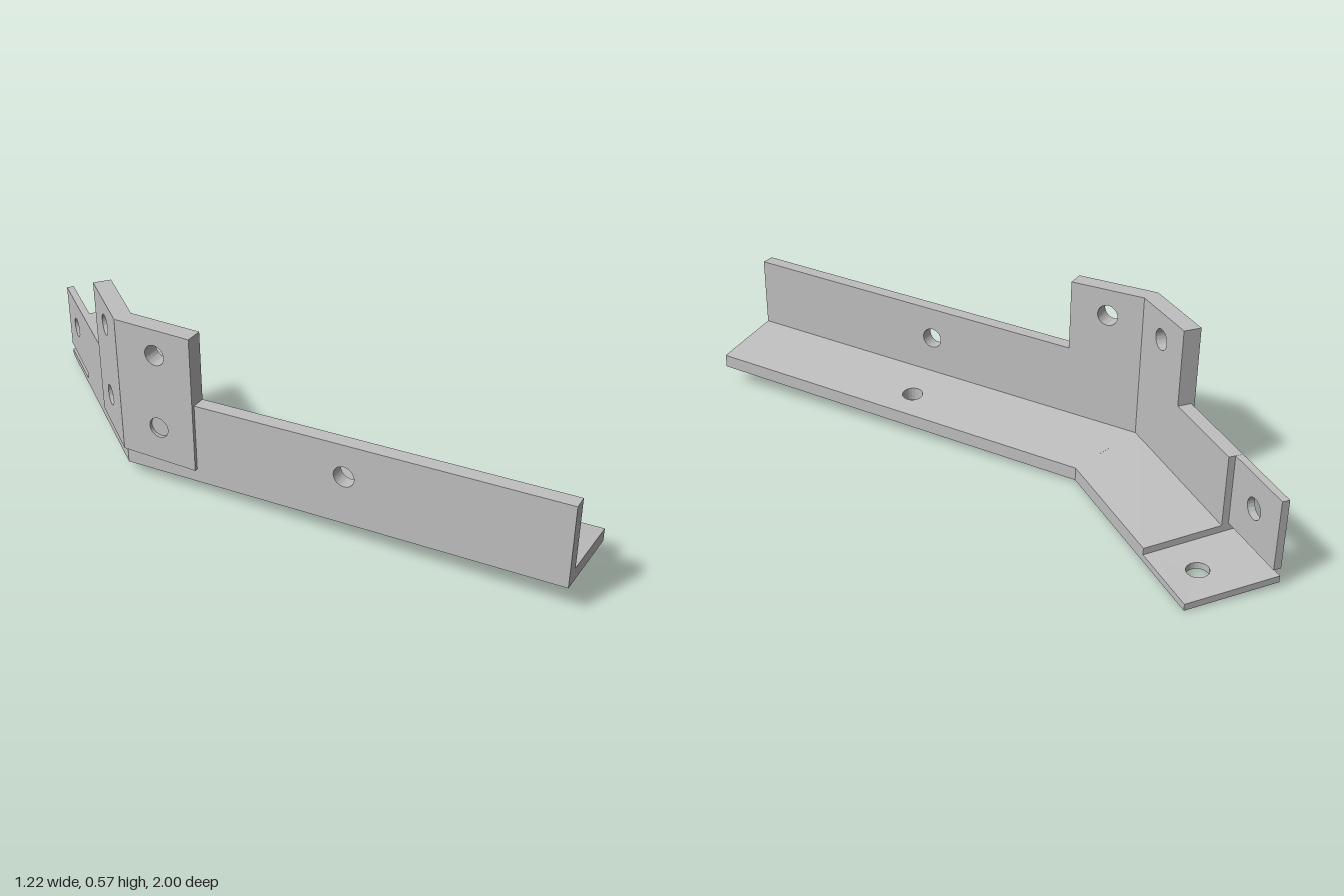
import * as THREE from 'three';
import { toCreasedNormals } from 'three/addons/utils/BufferGeometryUtils.js';

const MITER = 0.36;   // shift along the arm per unit of depth at the bend
const WALL = 0.048;   // wall thickness
const CORNER = [-0.6, -0.17]; // outer corner of the bend (x, z)

// Each arm: s runs along its outer edge, d runs inward across it.
const frontArm = {
  dir: [0.638, 0.77], inward: [0.77, -0.638],
  base: (s, d) => 0.042 + 0.0395 * s - 0.115 * d,
};
const backArm = {
  dir: [0, -1], inward: [1, 0],
  base: (s, d) => 0.042 - 0.03 * s - (0.096 - 0.05 * s) * d,
};

// Outline with round holes given as [u, v, radius]
function outline(points, holes = []) {
  const shape = new THREE.Shape(points.map(([u, v]) => new THREE.Vector2(u, v)));
  for (const [u, v, r] of holes) {
    shape.holes.push(new THREE.Path().absarc(u, v, r, 0, Math.PI * 2, true));
  }
  return shape;
}

function reverseFaces(geo) {
  const a = geo.attributes.position.array;
  for (let i = 0; i < a.length; i += 9) {
    for (let k = 0; k < 3; k++) [a[i + 3 + k], a[i + 6 + k]] = [a[i + 6 + k], a[i + 3 + k]];
  }
}

// Extrudes an outline and lays it along an arm, mitred at the bend.
// Plates use (s, d) outlines and follow the slope; walls use (s, y) outlines.
function piece(arm, kind, shape, from, to) {
  const geo = new THREE.ExtrudeGeometry(shape, { depth: to - from, bevelEnabled: false, curveSegments: 32 });
  const p = geo.attributes.position;
  for (let i = 0; i < p.count; i++) {
    const s = p.getX(i), v = p.getY(i), w = p.getZ(i) + from;
    const d = kind === 'plate' ? v : w;
    const along = Math.abs(s) < 1e-4 ? MITER * d : s;
    const y = kind === 'plate' ? w + arm.base(along, d) : v;
    p.setXYZ(i,
      CORNER[0] + arm.dir[0] * along + arm.inward[0] * d, y,
      CORNER[1] + arm.dir[1] * along + arm.inward[1] * d);
  }
  const turn = arm.dir[1] * arm.inward[0] - arm.dir[0] * arm.inward[1];
  if ((turn > 0) !== (kind === 'plate')) reverseFaces(geo);
  geo.deleteAttribute('uv');
  return toCreasedNormals(geo, 0.4);
}

const rect = (u0, v0, u1, v1) => [[u0, v0], [u1, v0], [u1, v1], [u0, v1]];

export function createModel() {
  const group = new THREE.Group();
  const steel = new THREE.MeshStandardMaterial({ color: 0xbfbfbf });
  steel.name = 'light grey steel';
  const add = (name, ...args) => {
    const mesh = new THREE.Mesh(piece(...args), steel);
    mesh.name = name;
    group.add(mesh);
  };

  // Base plates, the back one stepping down to a thin tongue
  add('frontBasePlate', frontArm, 'plate', outline(rect(0, 0, 1.52, 0.31), [[0.79, 0.202, 0.035]]), 0, 0.045);
  add('backBasePlate', backArm, 'plate', outline(rect(0, 0, 0.58, 0.31)), 0, 0.045);
  add('backTongue', backArm, 'plate', outline(rect(0.58, 0, 0.83, 0.31), [[0.71, 0.2, 0.035]]), 0, 0.022);

  // Walls, each rising into half of the corner upright
  add('frontWall', frontArm, 'wall', outline(
    [[0, 0.047], [1.52, 0.107], [1.52, 0.383], [0.272, 0.335], [0.272, 0.575], [0, 0.575]],
    [[0.8, 0.243, 0.035], [0.14, 0.485, 0.035]]), 0, WALL);
  add('backWall', backArm, 'wall', outline(
    [[0, 0.047], [0.58, 0.03], [0.58, 0.306], [0.272, 0.316], [0.272, 0.575], [0, 0.575]],
    [[0.14, 0.485, 0.035]]), 0, WALL);

  // Thin flap at the end of the back wall, clear of the tongue below
  add('backFlap', backArm, 'wall', outline(
    [[0.57, 0.07], [0.83, 0.065], [0.83, 0.298], [0.57, 0.306]], [[0.7, 0.195, 0.035]]), 0, 0.025);

  // Raised pads on the outside of the upright, with shallow lower holes
  for (const [name, arm] of [['frontPad', frontArm], ['backPad', backArm]]) {
    add(name, arm, 'wall', outline(rect(0, 0.1, 0.272, 0.575),
      [[0.14, 0.485, 0.035], [0.14, 0.222, 0.035]]), -0.012, 0);
  }
  return group;
}
